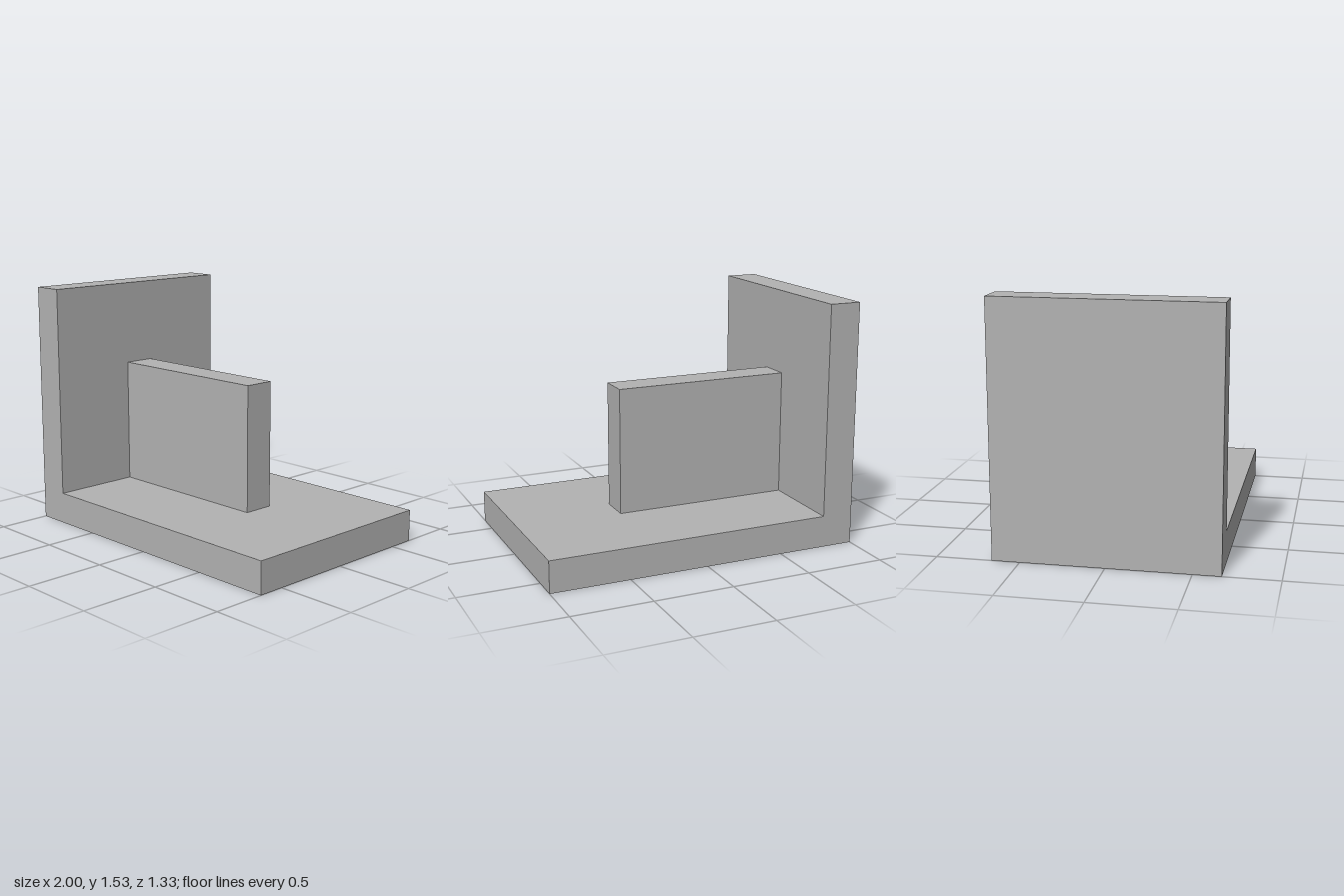
import * as THREE from 'three';

const WIDTH = 1.333;    // depth of the bracket along z
const THICK = 0.2;      // plate thickness
const HEIGHT = 1.533;   // top of the upright plate
const RIB_END = 0.333;  // free end of the rib along x
const RIB_TOP = 1.0;

// Extrudes an x-y outline along z, centred on z = 0
function extrudeCentred(points, depth) {
  const shape = new THREE.Shape(points.map(([x, y]) => new THREE.Vector2(x, y)));
  const geometry = new THREE.ExtrudeGeometry(shape, { depth, bevelEnabled: false });
  return geometry.translate(0, 0, -depth / 2);
}

export function createModel() {
  const group = new THREE.Group();
  group.name = 'angleBracket';

  const grey = new THREE.MeshStandardMaterial({ color: 0xb2b2b2 });
  grey.name = 'grey';

  // Base and upright plate as one L-shaped body
  const inner = -1 + THICK;
  const body = new THREE.Mesh(extrudeCentred([
    [-1, 0], [1, 0], [1, THICK], [inner, THICK], [inner, HEIGHT], [-1, HEIGHT],
  ], WIDTH), grey);
  body.name = 'angleBody';
  group.add(body);

  // Central stiffening rib in the corner
  const rib = new THREE.Mesh(
    new THREE.BoxGeometry(RIB_END - inner, RIB_TOP - THICK, THICK), grey);
  rib.position.set((RIB_END + inner) / 2, (RIB_TOP + THICK) / 2, 0);
  rib.name = 'stiffeningRib';
  group.add(rib);

  return group;
}
